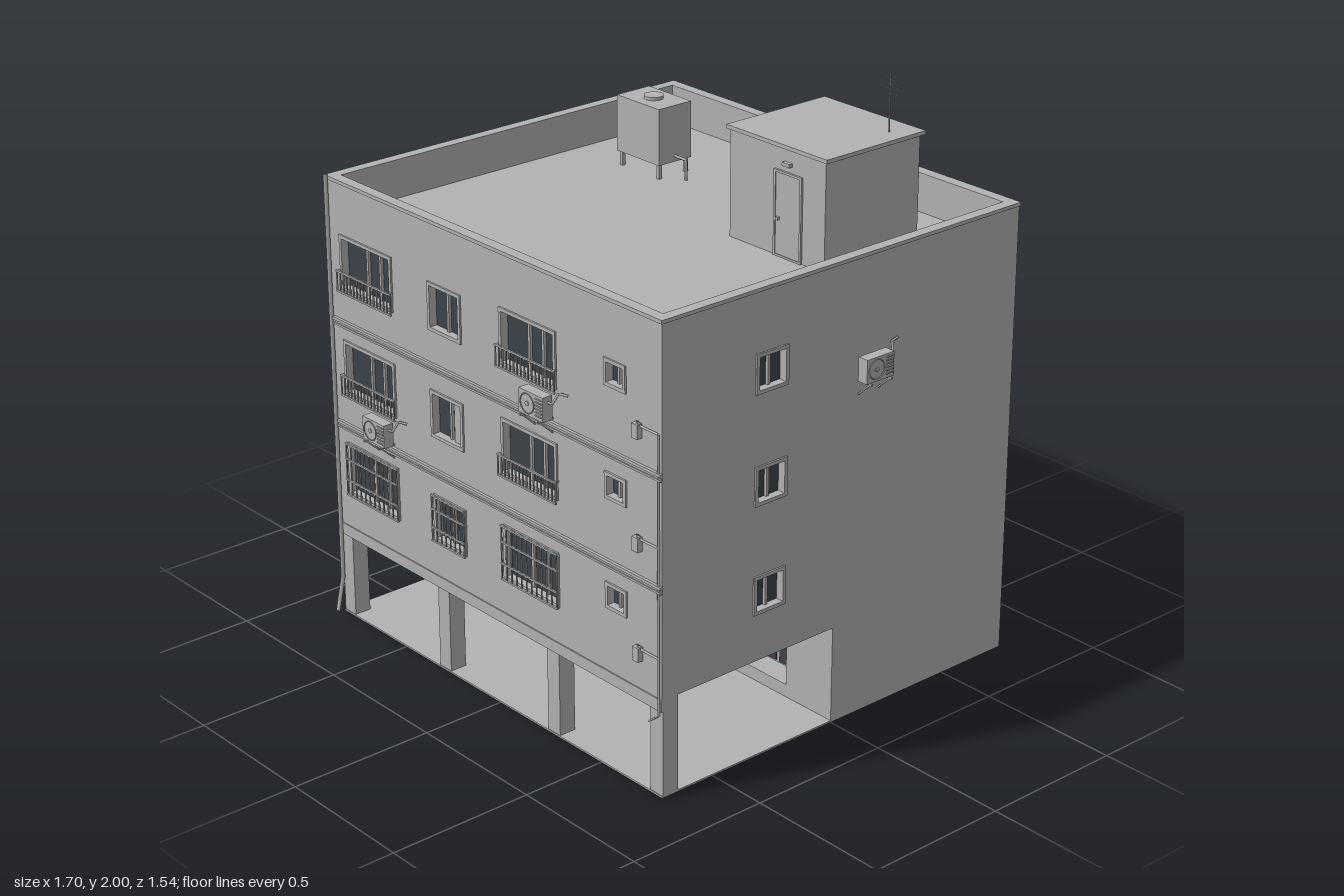
import * as THREE from 'three';

const concrete = new THREE.MeshStandardMaterial({ color: 0xb2b2b2 });
concrete.name = 'concrete';
const glass = new THREE.MeshStandardMaterial({ color: 0x3c444a });
glass.name = 'dark glass';

const L = -0.845, R = 0.787, F = 0.705, B = -0.77, T = 0.035; // outer faces, wall thickness
const SOFFIT = 0.335, DECK = 1.43, TOP = 1.55, STOREY = 0.365;

function add(parent, name, geo, mat = concrete) {
  const m = new THREE.Mesh(geo, mat);
  m.name = name;
  parent.add(m);
  return m;
}

// Box given by its minimum and maximum on each axis
function box(parent, name, x0, x1, y0, y1, z0, z1, mat) {
  const g = new THREE.BoxGeometry(x1 - x0, y1 - y0, z1 - z0);
  g.translate((x0 + x1) / 2, (y0 + y1) / 2, (z0 + z1) / 2);
  return add(parent, name, g, mat);
}

function pipe(parent, name, pts, r) {
  const path = new THREE.CurvePath();
  const v = pts.map(p => new THREE.Vector3(...p));
  for (let i = 1; i < v.length; i++) path.add(new THREE.LineCurve3(v[i - 1], v[i]));
  return add(parent, name, new THREE.TubeGeometry(path, (v.length - 1) * 6, r, 6));
}

// Flat outline with rectangular holes [x0, x1, y0, y1], extruded along +z
function plate(outline, holes, depth) {
  const s = new THREE.Shape(outline.map(p => new THREE.Vector2(...p)));
  for (const [a, b, c, d] of holes) {
    s.holes.push(new THREE.Path([[a, c], [a, d], [b, d], [b, c]].map(p => new THREE.Vector2(...p))));
  }
  return new THREE.ExtrudeGeometry(s, { depth, bevelEnabled: false });
}
const rect = (a, b, c, d) => [[a, c], [b, c], [b, d], [a, d]];

// Bars in the local xy plane
function bars(parent, name, w, y0, y1, z, nV, rows) {
  for (let i = 0; i <= nV; i++) {
    const x = -w / 2 + w * i / nV;
    box(parent, name + 'Bar', x - 0.002, x + 0.002, y0, y1, z - 0.002, z + 0.002);
  }
  for (const y of rows) box(parent, name + 'Rail', -w / 2 - 0.003, w / 2 + 0.003, y - 0.003, y + 0.003, z - 0.003, z + 0.003);
}

// Window facing local +z, its wall face at z = 0; splits are mullion positions 0..1
function windowUnit(parent, name, w, h, splits, opt = {}) {
  const g = new THREE.Group();
  g.name = name;
  parent.add(g);
  const f = 0.012, iw = w - 2 * f, ih = h - 2 * f;
  const frame = add(g, 'windowFrame', plate(rect(-w / 2, w / 2, -h / 2, h / 2), [[-iw / 2, iw / 2, -ih / 2, ih / 2]], 0.036));
  frame.position.z = -0.03;
  box(g, 'pane', -iw / 2, iw / 2, -ih / 2, ih / 2, -0.028, -0.022, glass);
  for (const s of splits) {
    const x = -iw / 2 + iw * s;
    box(g, 'mullion', x - 0.005, x + 0.005, -ih / 2, ih / 2, -0.026, -0.012);
  }
  if (opt.grille) {
    bars(g, 'grille', w, -h / 2, h / 2, 0.012, opt.grille, [-0.49, -0.2, 0.2, 0.49].map(k => k * h));
  }
  if (opt.railing) {
    bars(g, 'railing', w + 0.01, -h / 2 - 0.006, -h / 2 + 0.065, 0.015, 16, [-h / 2 - 0.004, -h / 2 + 0.065]);
    for (const s of [-1, 1]) box(g, 'railingReturn', s * w / 2 - 0.003, s * w / 2 + 0.003, -h / 2 + 0.062, -h / 2 + 0.068, 0, 0.015);
  }
  if (opt.openSash) box(g, 'openSash', iw * 0.17, iw / 2, -ih / 2, ih / 2, -0.022, -0.008);
  return g;
}

// Outdoor cooling unit on brackets, facing local +z
function coolingUnit(parent, x, y, z, turn = 0) {
  const g = new THREE.Group();
  g.name = 'coolingUnit';
  g.position.set(x, y, z);
  g.rotation.y = turn;
  parent.add(g);
  box(g, 'unitCasing', -0.057, 0.057, -0.04, 0.04, 0.014, 0.052);
  add(g, 'fanRing', new THREE.TorusGeometry(0.032, 0.002, 6, 24)).position.set(-0.016, 0, 0.053);
  add(g, 'fanHub', new THREE.CylinderGeometry(0.008, 0.008, 0.004, 12).rotateX(Math.PI / 2)).position.set(-0.016, 0, 0.053);
  for (let i = 0; i < 6; i++) box(g, 'ventSlat', 0.023, 0.052, -0.028 + i * 0.011, -0.024 + i * 0.011, 0.051, 0.055);
  for (const s of [-0.042, 0.042]) {
    box(g, 'bracketArm', s - 0.003, s + 0.003, -0.047, -0.04, 0, 0.06);
    pipe(g, 'bracketBrace', [[s, -0.09, 0.002], [s, -0.043, 0.054]], 0.003);
  }
  pipe(g, 'coolantPipe', [[0.055, 0.02, 0.03], [0.075, 0.02, 0.03], [0.085, 0.053, 0.012], [0.12, 0.053, 0.002]], 0.004);
}

function buildShell(g) {
  const frontHoles = [], sideHoles = { right: [], left: [] };
  const walls = new THREE.Group();
  walls.name = 'windows';
  g.add(walls);
  for (let i = 0; i < 3; i++) {
    const dy = -STOREY * i, low = i === 2;
    const put = (name, x0, x1, y0, y1, splits, opt) => {
      frontHoles.push([x0, x1, y0 + dy, y1 + dy]);
      windowUnit(walls, name, x1 - x0, y1 - y0, splits, opt).position.set((x0 + x1) / 2, (y0 + y1) / 2 + dy, F);
    };
    const wide = low ? { grille: 11 } : { railing: true };
    put('wideWindow', -0.78, -0.505, 1.19, 1.378, [0.46, 0.73], wide);
    put('wideWindow', 0.04, 0.31, 1.19, 1.378, [0.46, 0.73], wide);
    put('middleWindow', -0.318, -0.152, 1.192, 1.355, [0.5], low ? { grille: 7 } : { openSash: i === 1 });
    put('smallWindow', 0.532, 0.63, 1.282, 1.37, [0.5]);
    // Side windows
    for (const [side, z0, x, turn] of [['right', 0.21, R, 1], ['left', 0.102, L, -1]]) {
      sideHoles[side].push([z0, z0 + 0.13, 1.225 + dy, 1.355 + dy]);
      const w = windowUnit(walls, side + 'SideWindow', 0.13, 0.13, [0.5]);
      w.position.set(x, 1.29 + dy, z0 + 0.065);
      w.rotation.y = turn * Math.PI / 2;
    }
    // Gas meter and its feed
    box(g, 'gasMeter', 0.673, 0.7, 1.165 + dy, 1.212 + dy, F, F + 0.02);
    pipe(g, 'gasFeed', [[0.69, 1.2 + dy, F + 0.01], [0.69, 1.22 + dy, F + 0.01], [0.7, 1.205 + dy, F + 0.006], [0.778, 1.205 + dy, F + 0.006]], 0.004);
  }
  add(g, 'frontWall', plate(rect(L, R, SOFFIT, TOP), frontHoles, T)).position.z = F - T;
  // Side walls step up over the open parking bay
  const profile = [[B, 0], [0, 0], [0, SOFFIT], [F - T, SOFFIT], [F - T, TOP], [B, TOP]];
  for (const [side, x] of [['right', R], ['left', L + T]]) {
    add(g, side + 'Wall', plate(profile, sideHoles[side], T).rotateY(-Math.PI / 2)).position.x = x;
  }
  box(g, 'backWall', L, R, 0, TOP, B - 0.003, B + T);
  box(g, 'storeys', L + T, R - T, SOFFIT, DECK, B + T, F - T);
  // Parapet coping as a ring
  const coping = plate(rect(L - 0.004, R + 0.004, -F - 0.004, -B + 0.006), [[L + T, R - T, -F + T, -B - T]], 0.012);
  add(g, 'coping', coping.rotateX(-Math.PI / 2)).position.y = TOP;
  // String courses
  for (const y of [1.068, 0.703]) {
    box(g, 'stringCourse', L + 0.018, R + 0.003, y - 0.011, y - 0.004, F, F + 0.01);
    box(g, 'stringCourse', L + 0.018, R + 0.003, y + 0.004, y + 0.014, F, F + 0.01);
    box(g, 'stringCourseCore', L + 0.018, R + 0.003, y - 0.004, y + 0.004, F, F + 0.006);
  }
}

function buildGroundFloor(g) {
  box(g, 'parkingFloor', L, R, 0, 0.006, 0, F);
  box(g, 'frontBeam', L, R, 0.297, SOFFIT + 0.002, 0.642, F + 0.004);
  for (const x of [L, -0.318, 0.24, R - 0.058]) box(g, 'column', x, x + 0.058, 0, 0.3, 0.642, F - 0.003);
  const win = [-0.515, -0.345, 0.158, 0.272], door = [0.29, 0.58, 0.05, 0.297];
  add(g, 'parkingWall', plate(rect(L + T, R - T, 0, SOFFIT), [win, door], 0.03)).position.z = -0.03;
  windowUnit(g, 'parkingWindow', 0.17, 0.114, [0.5], { grille: 7 }).position.set(-0.43, 0.215, 0);
  box(g, 'noticePanel', -0.028, 0.094, 0.13, 0.205, 0, 0.008);
  // Entrance lobby, open to the parking bay
  const [x0, x1, y0, y1] = door;
  box(g, 'lobby', x0 - 0.015, x1 + 0.015, y0 - 0.01, SOFFIT, -0.35, -0.085);
  box(g, 'lobbyFloor', x0 - 0.01, x1 + 0.01, 0.03, y0, -0.085, -0.03);
  for (const x of [x0 - 0.01, x1]) box(g, 'lobbyCheek', x, x + 0.01, y0, SOFFIT, -0.085, -0.03);
  for (const [a, b] of [[0.295, 0.326], [0.336, 0.447], [0.463, 0.575]]) {
    box(g, 'entranceGlass', a, b, y0 + 0.007, 0.276, -0.085, -0.08, glass);
    box(g, 'transomGlass', a, b, 0.283, y1, -0.085, -0.08, glass);
  }
  box(g, 'doorHandle', 0.385, 0.43, 0.148, 0.162, -0.08, -0.072);
  // Wheel stops, lamp, sensor and service pipes
  for (const x of [-0.638, -0.465, -0.148, 0.056]) box(g, 'wheelStop', x - 0.034, x + 0.034, 0.006, 0.016, 0.045, 0.062);
  add(g, 'ceilingLamp', new THREE.CylinderGeometry(0.02, 0.02, 0.012, 20)).position.set(0, 0.329, 0.225);
  box(g, 'wallSensor', -0.707, -0.69, 0.277, 0.294, 0, 0.018);
  pipe(g, 'wallPipe', [[-0.27, 0.01, 0.006], [-0.27, 0.185, 0.006]], 0.004);
  pipe(g, 'wallPipe', [[0.255, 0.01, 0.006], [0.255, 0.16, 0.006]], 0.004);
}

function buildRoof(g) {
  // Stair house
  box(g, 'stairHouse', 0.157, 0.585, DECK, 1.787, -0.528, -0.127);
  box(g, 'stairHouseRoof', 0.147, 0.597, 1.787, 1.8, -0.54, -0.118);
  add(g, 'doorFrame', plate(rect(0.362, 0.486, DECK, 1.712), [[0.37, 0.478, DECK + 0.006, 1.704]], 0.007)).position.z = -0.127;
  box(g, 'roofDoor', 0.37, 0.478, DECK, 1.704, -0.127, -0.123);
  box(g, 'roofDoorKnob', 0.378, 0.388, 1.55, 1.56, -0.123, -0.114);
  box(g, 'doorLamp', 0.405, 0.438, 1.733, 1.745, -0.127, -0.113);
  // Aerial
  pipe(g, 'aerialMast', [[0.532, 1.8, -0.445], [0.532, 2, -0.445]], 0.0025);
  [0.063, 0.053, 0.043, 0.033].forEach((h, i) => {
    const y = 1.968 - i * 0.015;
    pipe(g, 'aerialRod', [[0.532 - h, y, -0.445], [0.532 + h, y, -0.445]], 0.0015);
  });
  // Water tank on legs
  box(g, 'waterTank', -0.593, -0.381, 1.48, 1.675, -0.441, -0.3);
  add(g, 'tankLid', new THREE.CylinderGeometry(0.033, 0.033, 0.012, 24)).position.set(-0.487, 1.68, -0.37);
  for (const x of [-0.58, -0.394]) for (const z of [-0.428, -0.313]) {
    box(g, 'tankLeg', x - 0.006, x + 0.006, DECK, 1.48, z - 0.006, z + 0.006);
  }
  pipe(g, 'tankPipe', [[-0.381, 1.5, -0.37], [-0.325, 1.5, -0.37], [-0.325, DECK, -0.37]], 0.005);
}

export function createModel() {
  const g = new THREE.Group();
  g.name = 'apartmentBlock';
  buildShell(g);
  buildGroundFloor(g);
  buildRoof(g);
  coolingUnit(g, 0.248, 1.136, F);
  coolingUnit(g, -0.567, 0.77, F);
  coolingUnit(g, R, 1.198, -0.127, Math.PI / 2);
  // Rainwater pipe and gas riser on the front corners
  pipe(g, 'drainPipe', [[L + 0.01, 1.57, F + 0.009], [L + 0.01, 0.05, F + 0.009], [L + 0.01, 0.015, F + 0.035]], 0.008);
  pipe(g, 'gasRiser', [[0.778, 1.205, F + 0.006], [0.778, 0.245, F + 0.006], [0.73, 0.245, F + 0.002]], 0.004);
  return g;
}
